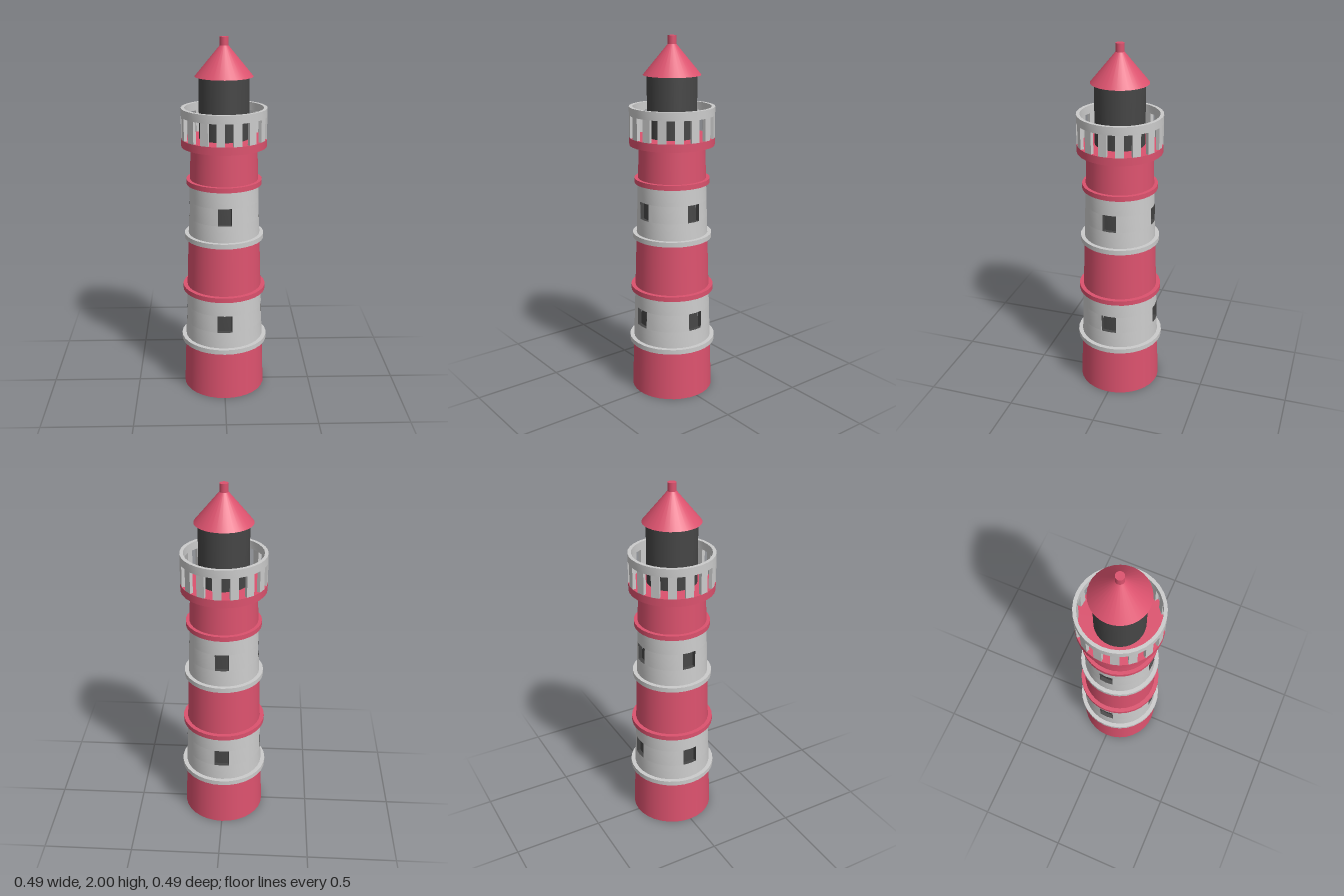
import * as THREE from 'three';
import { toCreasedNormals } from 'three/addons/utils/BufferGeometryUtils.js';

const SEG = 32;
const STEP = (Math.PI * 2) / SEG;
const red = new THREE.MeshStandardMaterial({ color: 0xdc526e });
const grey = new THREE.MeshStandardMaterial({ color: 0xcccccc });
const dark = new THREE.MeshStandardMaterial({ color: 0x464646 });
const darkThin = new THREE.MeshStandardMaterial({ color: 0x464646, side: THREE.DoubleSide });

// Radius of the tapering tower wall at height y
const wallRadius = (y) => 0.23 - 0.0345 * y;

function add(parent, name, geometry, material) {
  const mesh = new THREE.Mesh(geometry, material);
  mesh.name = name;
  parent.add(mesh);
  return mesh;
}

// Solid round section between two heights
function drum(parent, name, rBottom, rTop, y0, y1, material) {
  const g = new THREE.CylinderGeometry(rTop, rBottom, y1 - y0, SEG);
  return add(parent, name, g.translate(0, (y0 + y1) / 2, 0), material);
}

// Profile turned through part of a circle, with sharp corners kept
function turned(points, segments = SEG, start = 0) {
  const profile = points.map(([r, y]) => new THREE.Vector2(r, y));
  return toCreasedNormals(new THREE.LatheGeometry(profile, segments, start, segments * STEP), 0.6);
}

// Wall band with four recessed windows, one on each side
function windowBand(parent, name, y0, y1, sill, head) {
  const band = new THREE.Group();
  band.name = name;
  parent.add(band);
  const at = (y) => [wallRadius(y), y];
  add(band, 'wallBelowWindows', turned([at(y0), at(sill)]), grey);
  add(band, 'wallAboveWindows', turned([at(head), at(y1)]), grey);
  const depth = 0.022;
  for (let i = 0; i < 4; i++) {
    const angle = (i * Math.PI) / 2;
    add(band, 'wallBetweenWindows', turned([at(sill), at(head)], 6, angle + STEP), grey);
    // Sill, pane and head in one stepped profile
    const inset = (y) => [wallRadius(y) - depth, y];
    add(band, 'window', turned([at(sill), inset(sill), inset(head), at(head)], 2, angle - STEP), dark);
    for (const side of [-1, 1]) {
      const a = angle + side * STEP;
      const r = wallRadius((sill + head) / 2) - depth / 2;
      const jamb = add(band, 'windowJamb', new THREE.PlaneGeometry(depth, head - sill), darkThin);
      jamb.position.set(Math.sin(a) * r, (sill + head) / 2, Math.cos(a) * r);
      jamb.rotation.y = a - Math.PI / 2;
    }
  }
}

// Upright post filling one step of the railing circle
function postGeometry(rIn, rOut, height) {
  const corner = (r, a) => new THREE.Vector2(Math.sin(a) * r, -Math.cos(a) * r);
  const shape = new THREE.Shape([corner(rIn, 0), corner(rOut, 0), corner(rOut, STEP), corner(rIn, STEP)]);
  return new THREE.ExtrudeGeometry(shape, { depth: height, bevelEnabled: false }).rotateX(-Math.PI / 2);
}

export function createModel() {
  const model = new THREE.Group();
  model.name = 'lighthouse';

  // Tower bands
  const tower = new THREE.Group();
  tower.name = 'tower';
  model.add(tower);
  for (const [name, y0, y1] of [['baseBand', 0, 0.3], ['middleBand', 0.605, 0.915], ['upperBand', 1.225, 1.44]]) {
    drum(tower, name, wallRadius(y0), wallRadius(y1), y0, y1, red);
  }
  windowBand(tower, 'lowerWindowBand', 0.3, 0.605, 0.405, 0.503);
  windowBand(tower, 'upperWindowBand', 0.915, 1.225, 1.025, 1.12);

  // Trim rings between the bands
  for (const [y, r, material] of [[0.284, 0.243, grey], [0.594, 0.232, red], [0.903, 0.22, grey], [1.213, 0.207, red]]) {
    drum(tower, 'trimRing', r, r, y, y + 0.027, material);
  }

  // Gallery deck and railing
  const gallery = new THREE.Group();
  gallery.name = 'gallery';
  model.add(gallery);
  const rIn = 0.213, rOut = 0.232, deckTop = 1.465, railBottom = 1.585, railTop = 1.63;
  drum(gallery, 'galleryDeck', rOut, rOut, 1.422, deckTop, red);
  add(gallery, 'topRail', turned([
    [rIn, railBottom], [rOut, railBottom], [rOut, railTop], [rIn, railTop], [rIn, railBottom],
  ]), grey);
  const post = postGeometry(rIn, rOut, railBottom - deckTop);
  for (let i = 0; i < SEG / 2; i++) {
    const mesh = add(gallery, 'railingPost', post, grey);
    mesh.position.y = deckTop;
    mesh.rotation.y = (2 * i + 1) * STEP;
  }

  // Lantern room, roof and finial
  drum(model, 'lanternRoom', 0.135, 0.135, deckTop, 1.8, dark);
  drum(model, 'roof', 0.156, 0.023, 1.795, 1.955, red);
  drum(model, 'finial', 0.023, 0.023, 1.95, 2, red);

  return model;
}
